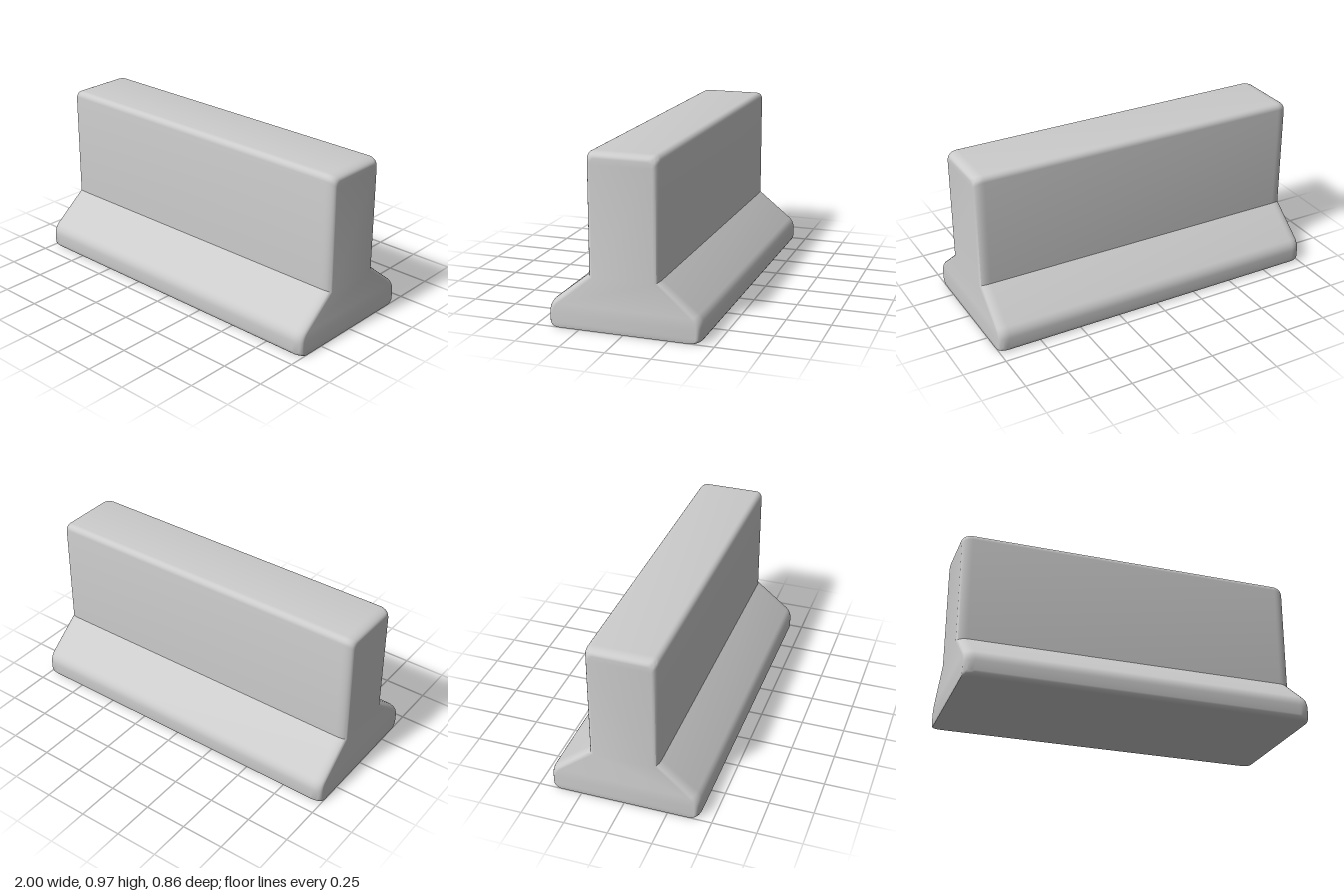
import * as THREE from 'three';
import { toCreasedNormals } from 'three/addons/utils/BufferGeometryUtils.js';

// Half cross-section as [z, y], from bottom to top, pulled in by d towards the ends
function halfProfile(d) {
  const pts = [];
  const arc = (cz, cy, r, from, to, drop) => {
    for (let i = 0; i <= 5; i++) {
      const a = from + (to - from) * i / 5;
      pts.push([cz + r * Math.cos(a) - d, cy + r * Math.sin(a) - drop]);
    }
  };
  arc(0.40, 0.03, 0.03, -Math.PI / 2, 0, 0);             // foot corner
  arc(0.345, 0.085, 0.085, 0, 0.84, d * 0.44);           // shoulder of the foot
  pts.push([0.2 - d, 0.31 - d * 0.44]);                  // crease between slope and wall
  arc(0.165, 0.935, 0.035, 0, Math.PI / 2, d);           // top edge
  return pts;
}

function barrierGeometry() {
  // Stations along the length, with rounded ends
  const end = [];
  for (let i = 0; i <= 6; i++) {
    const t = i / 6 * Math.PI / 2;
    end.push([0.94 + 0.06 * Math.sin(t), 0.03 * (1 - Math.cos(t))]);
  }
  const stations = [...end.map(([x, d]) => [-x, d]).reverse(), ...end];

  const positions = [], index = [];
  const half = halfProfile(0).length, n = half * 2;
  for (const [x, d] of stations) {
    const p = halfProfile(d);
    p.forEach(([z, y]) => positions.push(x, y, z));
    [...p].reverse().forEach(([z, y]) => positions.push(x, y, -z));
  }
  const quad = (a, b, c, d) => index.push(a, b, c, a, c, d);

  // Skin between the stations
  for (let s = 0; s < stations.length - 1; s++) {
    for (let i = 0; i < n; i++) {
      const j = (i + 1) % n, a = s * n, b = a + n;
      quad(a + i, b + i, b + j, a + j);
    }
  }
  // End faces
  const last = (stations.length - 1) * n;
  for (let i = 0; i < half - 1; i++) {
    const m = n - 1 - i;
    quad(last + i, last + m, last + m - 1, last + i + 1);
    quad(i, i + 1, m - 1, m);
  }

  const geometry = new THREE.BufferGeometry();
  geometry.setAttribute('position', new THREE.Float32BufferAttribute(positions, 3));
  geometry.setIndex(index);
  return toCreasedNormals(geometry, 0.6);
}

export function createModel() {
  const group = new THREE.Group();
  group.name = 'roadBarrier';
  const body = new THREE.Mesh(
    barrierGeometry(),
    new THREE.MeshStandardMaterial({ color: 0xcccccc })
  );
  body.name = 'barrierBody';
  group.add(body);
  return group;
}
